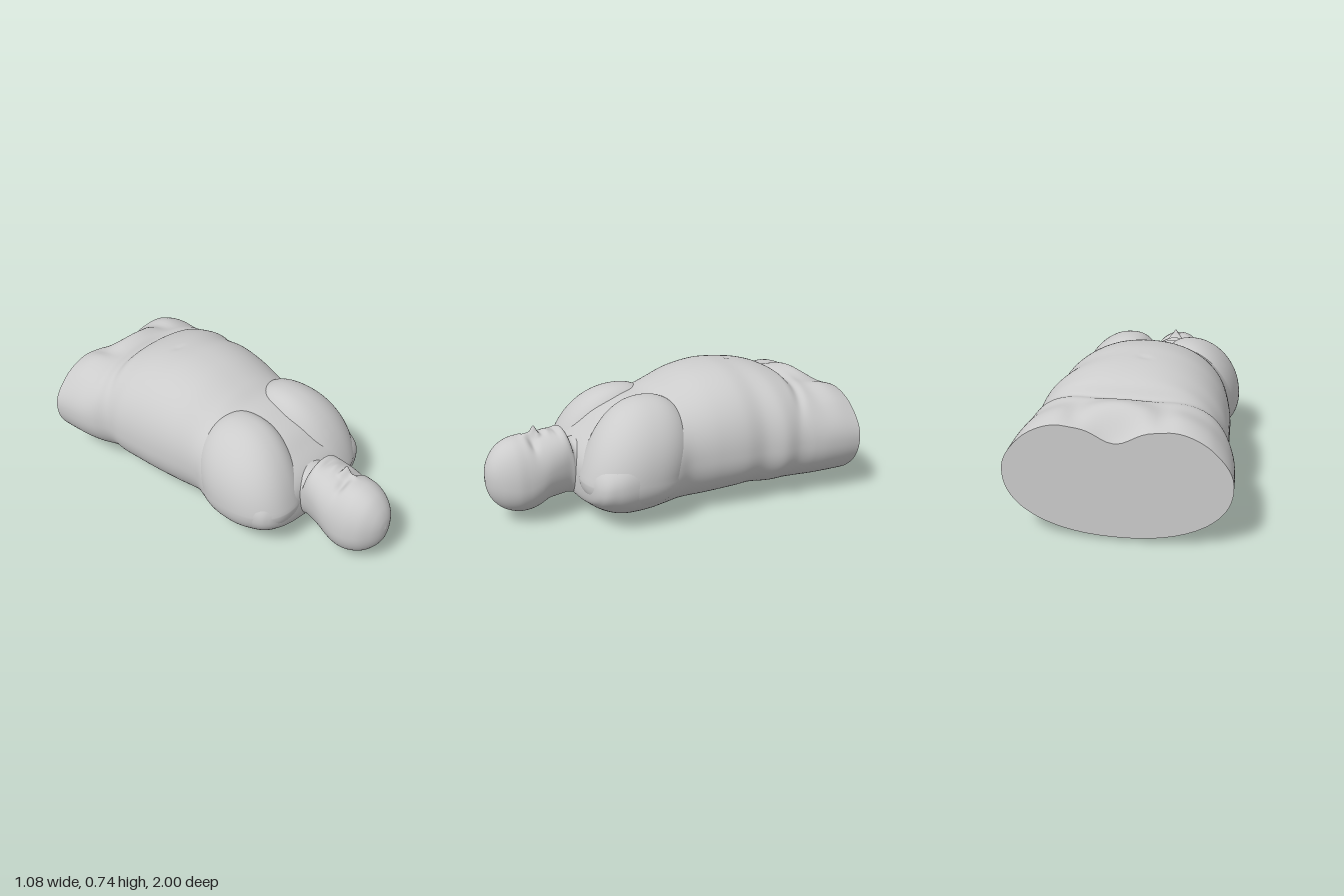
import * as THREE from 'three';

const mat = new THREE.MeshStandardMaterial({ color: 0xcccccc, roughness: 0.8 });

function addMesh(parent, geometry, name) {
  const mesh = new THREE.Mesh(geometry, mat);
  mesh.name = name;
  parent.add(mesh);
}

// Sections run along z: [z, xMin, xMax, yBottom, yWidest, yTop].
// Bumps raise or sink the upper surface: [x, z, radiusX, radiusZ, height, curve].
function loft(sections, steps, around, power, bumps) {
  const times = sections.map((_, i) => i);
  const curve = new THREE.CubicInterpolant(times, sections.flat(), 6);
  const pos = [], index = [];
  const bend = (v) => Math.sign(v) * Math.pow(Math.abs(v), 2 / power);
  for (let i = 0; i <= steps; i++) {
    const [z, x0, x1, yb, ym, yt] = curve.evaluate((i / steps) * (sections.length - 1));
    for (let j = 0; j < around; j++) {
      const a = (j / around) * Math.PI * 2;
      const s = Math.sin(a);
      const x = (x0 + x1) / 2 + bend(Math.cos(a)) * (x1 - x0) / 2;
      let y = ym + bend(s) * (s > 0 ? yt - ym : ym - yb);
      if (s > 0) {
        for (const [bx, bz, rx, rz, h, c = 0] of bumps) {
          const dx = (x - bx) / rx, dz = (z - bz - c * x * x) / rz;
          y += h * Math.min(1, s * 1.6) * Math.exp(-dx * dx - dz * dz);
        }
      }
      pos.push(x, y, z);
      if (i < steps) {
        const k = (j + 1) % around, p = i * around, q = p + around;
        index.push(p + j, p + k, q + j, p + k, q + k, q + j);
      }
    }
  }
  const g = new THREE.BufferGeometry();
  g.setAttribute('position', new THREE.Float32BufferAttribute(pos, 3));
  g.setIndex(index);
  g.computeVertexNormals();
  return g;
}

// Flat face closing the first ring of a loft, facing -z.
function startCap(geometry, around) {
  const src = geometry.attributes.position;
  const pos = [0, 0.28, src.getZ(0)], index = [];
  for (let j = 0; j < around; j++) {
    pos.push(src.getX(j), src.getY(j), src.getZ(j));
    index.push(0, 1 + ((j + 1) % around), 1 + j);
  }
  const g = new THREE.BufferGeometry();
  g.setAttribute('position', new THREE.Float32BufferAttribute(pos, 3));
  g.setIndex(index);
  g.computeVertexNormals();
  return g;
}

// Breast and shoulder as one swelling: full and low at the front, leaning back and inward at the top.
function chestMound(side, [cx, cy, cz], [rx, rUp, rDown, rz]) {
  const g = new THREE.SphereGeometry(1, 72, 56);
  const p = g.attributes.position, v = new THREE.Vector3(), power = 2.25;
  for (let i = 0; i < p.count; i++) {
    v.fromBufferAttribute(p, i);
    const sum = [v.x, v.y, v.z].reduce((t, c) => t + Math.pow(Math.abs(c), power), 0);
    v.multiplyScalar(Math.pow(sum, -1 / power));
    const up = Math.max(0, v.y);
    p.setXYZ(i,
      side * cx + v.x * rx - side * 0.065 * up * up,
      cy + v.y * (v.y > 0 ? rUp : rDown),
      cz + v.z * rz - 0.1 * up);
  }
  g.computeVertexNormals();
  return g;
}

export function createModel() {
  const model = new THREE.Group();
  model.name = 'recliningFigure';

  // Torso from the cut thighs to the shoulders
  const torso = loft([
    [-1.0, -0.54, 0.54, 0.018, 0.32, 0.55],
    [-0.9, -0.535, 0.535, 0.018, 0.32, 0.585],
    [-0.8, -0.525, 0.525, 0.018, 0.32, 0.605],
    [-0.72, -0.505, 0.51, 0.02, 0.32, 0.645],
    [-0.63, -0.468, 0.49, 0.02, 0.32, 0.69],
    [-0.53, -0.475, 0.495, 0.023, 0.32, 0.718],
    [-0.42, -0.47, 0.462, 0.026, 0.32, 0.732],
    [-0.3, -0.462, 0.462, 0.022, 0.32, 0.738],
    [-0.15, -0.44, 0.438, 0.01, 0.32, 0.715],
    [0.0, -0.412, 0.412, 0.005, 0.31, 0.66],
    [0.1, -0.435, 0.43, 0.003, 0.29, 0.615],
    [0.22, -0.45, 0.45, 0, 0.27, 0.585],
    [0.35, -0.445, 0.455, 0.008, 0.26, 0.53],
    [0.44, -0.43, 0.44, 0.04, 0.25, 0.46],
    [0.51, -0.39, 0.4, 0.09, 0.24, 0.39],
    [0.545, -0.29, 0.29, 0.13, 0.23, 0.32],
    [0.555, 0, 0, 0.23, 0.23, 0.23],
  ], 150, 128, 2.2, [
    [0, -0.74, 0.5, 0.035, -0.03, 0.45],     // fold under the belly
    [0, -0.87, 0.15, 0.09, 0.045],           // mound between the thighs
    [0.32, -0.95, 0.2, 0.2, 0.05],           // thighs
    [-0.32, -0.95, 0.2, 0.2, 0.05],
    [0, -1.03, 0.11, 0.09, -0.075],          // gap between the thighs
    [0.2, -0.9, 0.05, 0.09, -0.02],          // groin creases
    [-0.2, -0.9, 0.05, 0.09, -0.02],
    [-0.04, -0.46, 0.02, 0.02, -0.008],      // navel
  ]);
  addMesh(model, torso, 'torso');
  addMesh(model, startCap(torso, 128), 'cutFace');

  // Chest
  addMesh(model, chestMound(1, [0.228, 0.26, 0.268], [0.232, 0.385, 0.18, 0.293]), 'leftBreast');
  addMesh(model, chestMound(-1, [0.24, 0.26, 0.272], [0.225, 0.362, 0.18, 0.29]), 'rightBreast');

  // Head with neck, slightly off centre, with the face upward
  const head = loft([
    [0.4, -0.19, 0.15, 0.08, 0.24, 0.44],
    [0.5, -0.165, 0.122, 0.1, 0.26, 0.405],
    [0.545, -0.16, 0.12, 0.105, 0.28, 0.405],
    [0.56, -0.163, 0.121, 0.108, 0.3, 0.45],
    [0.58, -0.168, 0.122, 0.108, 0.31, 0.48],
    [0.62, -0.178, 0.128, 0.103, 0.31, 0.474],
    [0.68, -0.192, 0.135, 0.095, 0.29, 0.466],
    [0.74, -0.198, 0.14, 0.068, 0.25, 0.458],
    [0.8, -0.2, 0.14, 0.055, 0.225, 0.462],
    [0.86, -0.192, 0.133, 0.06, 0.225, 0.455],
    [0.92, -0.165, 0.105, 0.085, 0.235, 0.425],
    [0.965, -0.12, 0.065, 0.13, 0.25, 0.375],
    [0.99, -0.075, 0.02, 0.185, 0.26, 0.32],
    [1.0, -0.028, -0.028, 0.26, 0.26, 0.26],
  ], 170, 160, 2.15, [
    [-0.085, 0.752, 0.045, 0.022, -0.018],   // eye sockets
    [0.045, 0.752, 0.045, 0.022, -0.018],
    [-0.02, 0.785, 0.09, 0.025, 0.005],      // brow
    [-0.02, 0.755, 0.016, 0.03, 0.02],       // nose bridge
    [-0.02, 0.726, 0.021, 0.019, 0.045],     // nose tip
    [0.006, 0.713, 0.013, 0.014, 0.014],     // nostrils
    [-0.046, 0.713, 0.013, 0.014, 0.014],
    [-0.02, 0.66, 0.045, 0.018, 0.01],       // lips
    [-0.02, 0.615, 0.055, 0.014, -0.007],    // hollow above the chin
  ]);
  addMesh(model, head, 'head');
  return model;
}
